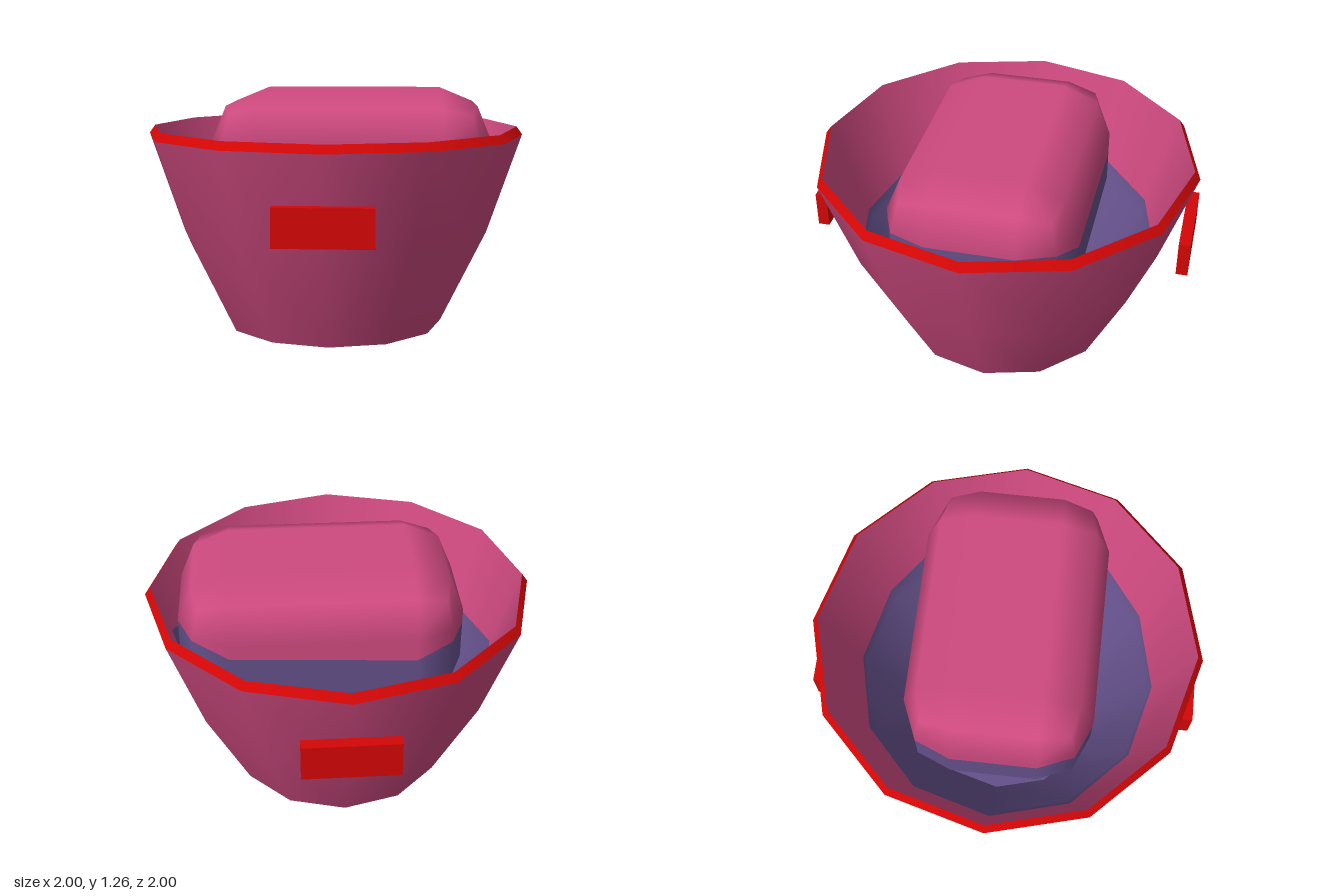
import * as THREE from 'three';
import { RoundedBoxGeometry } from 'three/addons/geometries/RoundedBoxGeometry.js';

const SIDES = 12;

export function createModel() {
  const model = new THREE.Group();
  const material = (name, color) => {
    const m = new THREE.MeshStandardMaterial({ color });
    m.name = name;
    return m;
  };
  const pink = material('pink', 0xcf4a80);
  const purple = material('purple', 0x64508a);
  const red = material('red', 0xd40606);

  const add = (name, geometry, mat, x = 0, y = 0, z = 0) => {
    const mesh = new THREE.Mesh(geometry, mat);
    mesh.name = name;
    mesh.position.set(x, y, z);
    model.add(mesh);
  };
  // Profiles running upward face outward, downward ones face the axis
  const lathe = (points) =>
    new THREE.LatheGeometry(points.map(([r, y]) => new THREE.Vector2(r, y)), SIDES);
  const reshape = (geometry, rule) => {
    const pos = geometry.attributes.position;
    const v = new THREE.Vector3();
    for (let i = 0; i < pos.count; i++) {
      rule(v.fromBufferAttribute(pos, i));
      pos.setXYZ(i, v.x, v.y, v.z);
    }
    return geometry;
  };

  // Tub shell
  add('outerWall', lathe([[0.58, 0], [0.82, 0.49], [1, 1.02]]), pink);
  add('rim', lathe([[1, 1.02], [0.97, 1.062]]), red);
  add('base', new THREE.CircleGeometry(0.58, SIDES).rotateX(Math.PI / 2), pink);

  // Inner wall: the colour line slides along the slope, highest at the left
  const seamY = 0.6;
  const slope = (1.062 - 0.49) / (0.97 - 0.78);
  const slideSeam = (v) => {
    if (Math.abs(v.y - seamY) > 0.01) return;
    const r = Math.hypot(v.x, v.z);
    const c = v.x / r;
    const seamR = 0.797 + 0.033 * c * c + 0.05 * Math.max(0, c) ** 8;
    v.set(v.x * seamR / r, 0.49 + (seamR - 0.78) * slope, v.z * seamR / r);
  };
  add('upperInnerWall', reshape(lathe([[0.97, 1.062], [0.82, seamY]]), slideSeam), pink);
  add('lowerInnerWall', reshape(lathe([[0.82, seamY], [0.78, 0.49], [0.53, 0.06]]), slideSeam), purple);
  add('floor', new THREE.CircleGeometry(0.53, SIDES).rotateX(-Math.PI / 2), purple, 0, 0.06);

  // Rounded block held in the tub, divided along a line that rises at its ends
  const centreY = 0.853;
  const divide = (v) => (Math.abs(v.z) > 0.45 ? 0.9 : 0.96) + 0.05 * v.x - centreY;
  const block = () => new RoundedBoxGeometry(1.45, 0.81, 0.96, 1, 0.26);
  add('blockTop', reshape(block(), (v) => { v.y = Math.max(v.y, divide(v)); }), pink, 0.098, centreY);
  add('blockBottom', reshape(block(), (v) => { v.y = Math.min(v.y, divide(v)); }), purple, 0.098, centreY);

  // Grips on the front and back
  for (const side of [1, -1]) {
    add(side > 0 ? 'frontGrip' : 'backGrip', new THREE.BoxGeometry(0.48, 0.19, 0.06), red, 0, 0.68, side * 0.968);
  }
  return model;
}
